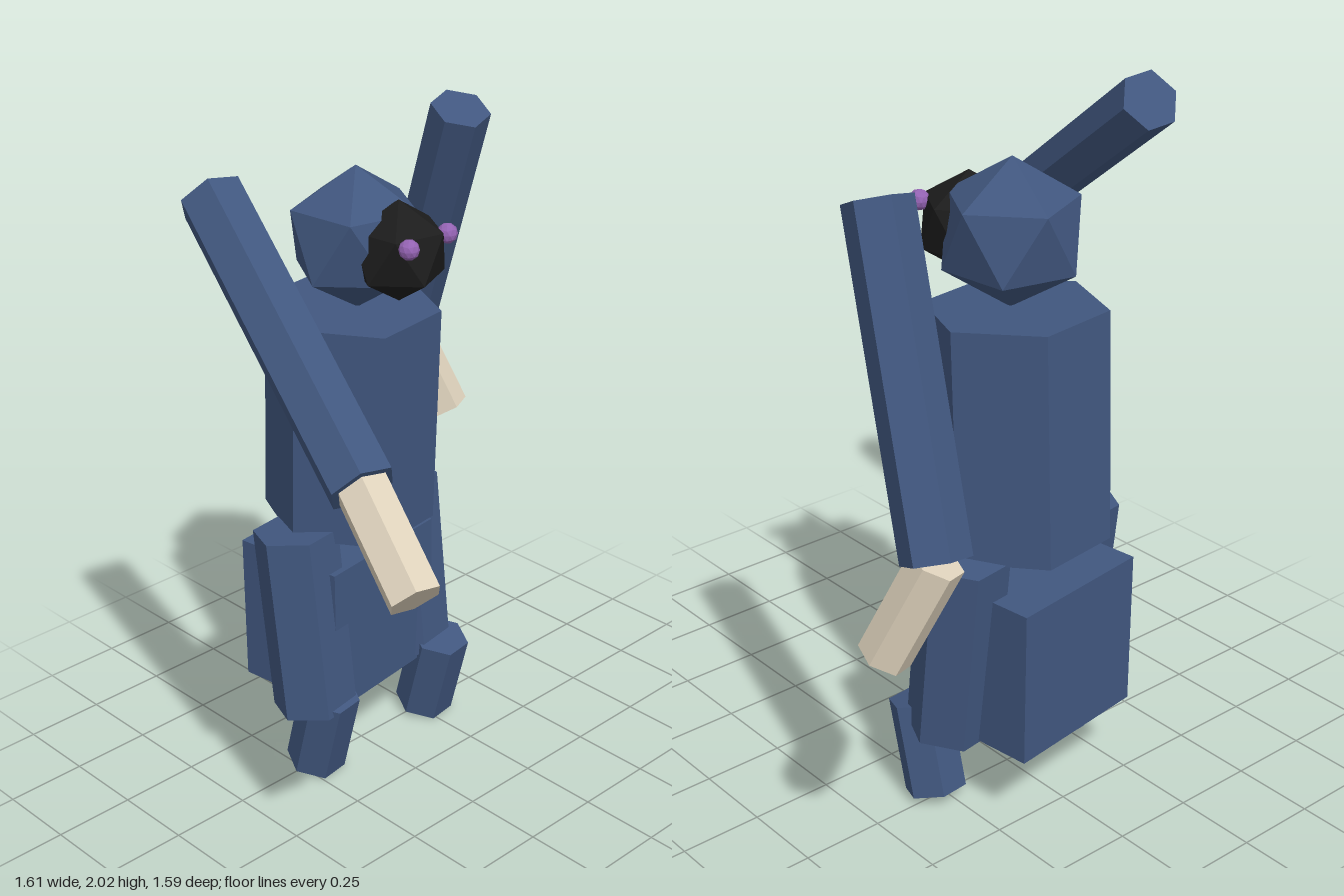
import * as THREE from 'three';

const flat = (name, color) => {
  const m = new THREE.MeshStandardMaterial({ color, flatShading: true });
  m.name = name;
  return m;
};

const YAW = 0.128; // the body is turned slightly to its left

export function createModel() {
  const blue = flat('blue cloth', 0x41577f);
  const black = flat('black face', 0x1c1c1c);
  const cream = flat('cream hand', 0xded2bc);
  const purple = flat('purple eye', 0x9463b3);

  const model = new THREE.Group();
  model.name = 'figure';

  // Six-sided prism between two points, two of its edges lying along the yawed side axis
  function prism(name, from, to, radius, material, yaw = YAW) {
    const a = new THREE.Vector3(...from);
    const b = new THREE.Vector3(...to);
    const up = b.clone().sub(a);
    const length = up.length();
    up.normalize();
    const side = new THREE.Vector3(Math.cos(yaw), 0, -Math.sin(yaw));
    side.addScaledVector(up, -side.dot(up)).normalize();
    const front = new THREE.Vector3().crossVectors(side, up);
    const geometry = new THREE.CylinderGeometry(radius, radius, length, 6);
    geometry.rotateY(Math.PI / 6);
    const mesh = new THREE.Mesh(geometry, material);
    mesh.name = name;
    mesh.quaternion.setFromRotationMatrix(new THREE.Matrix4().makeBasis(side, up, front));
    mesh.position.copy(a).add(b).multiplyScalar(0.5);
    model.add(mesh);
  }

  // Icosahedron standing on one of its corners
  function ball(name, position, radius, detail, material) {
    const geometry = new THREE.IcosahedronGeometry(radius, detail);
    geometry.rotateZ(Math.atan2(1, (1 + Math.sqrt(5)) / 2));
    geometry.rotateY(-Math.PI / 6);
    const mesh = new THREE.Mesh(geometry, material);
    mesh.name = name;
    mesh.position.set(...position);
    model.add(mesh);
  }

  // Head, face and eyes
  ball('head', [0.012, 1.697, -0.252], 0.213, 0, blue);
  ball('face', [0.032, 1.69, -0.1], 0.15, 0, black);
  ball('rightEye', [-0.047, 1.744, 0.022], 0.03, 1, purple);
  ball('leftEye', [0.12, 1.746, 0.004], 0.03, 1, purple);

  // Torso, leaning slightly forward
  prism('torso', [0.01, 0.81, -0.302], [0.01, 1.49, -0.27], 0.26, blue);

  // Hips
  const hips = new THREE.Mesh(new THREE.BoxGeometry(0.47, 0.475, 0.37), blue);
  hips.name = 'hips';
  hips.position.set(0.004, 0.481, -0.347);
  hips.rotation.y = YAW;
  model.add(hips);

  // Legs
  prism('leftThigh', [0.247, 0.248, -0.277], [0.247, 0.832, -0.338], 0.13, blue);
  prism('rightThigh', [-0.223, 0.248, -0.215], [-0.23, 0.832, -0.277], 0.13, blue);
  prism('leftShin', [0.273, 0.022, -0.24], [0.273, 0.298, -0.165], 0.093, blue);
  prism('rightShin', [-0.205, 0.022, -0.24], [-0.205, 0.298, -0.165], 0.093, blue);

  // Detached arms with hands
  prism('rightArm', [-0.695, 1.425, 0.52], [-0.535, 1.952, -0.215], 0.093, blue, 0.05);
  prism('rightHand', [-0.742, 1.225, 0.752], [-0.69, 1.44, 0.5], 0.073, cream, 0.05);
  prism('leftArm', [0.653, 1.115, -0.708], [0.553, 1.937, -0.368], 0.093, blue, 0.3);
  prism('leftHand', [0.733, 0.824, -0.597], [0.65, 1.115, -0.71], 0.073, cream, 0.3);

  return model;
}
